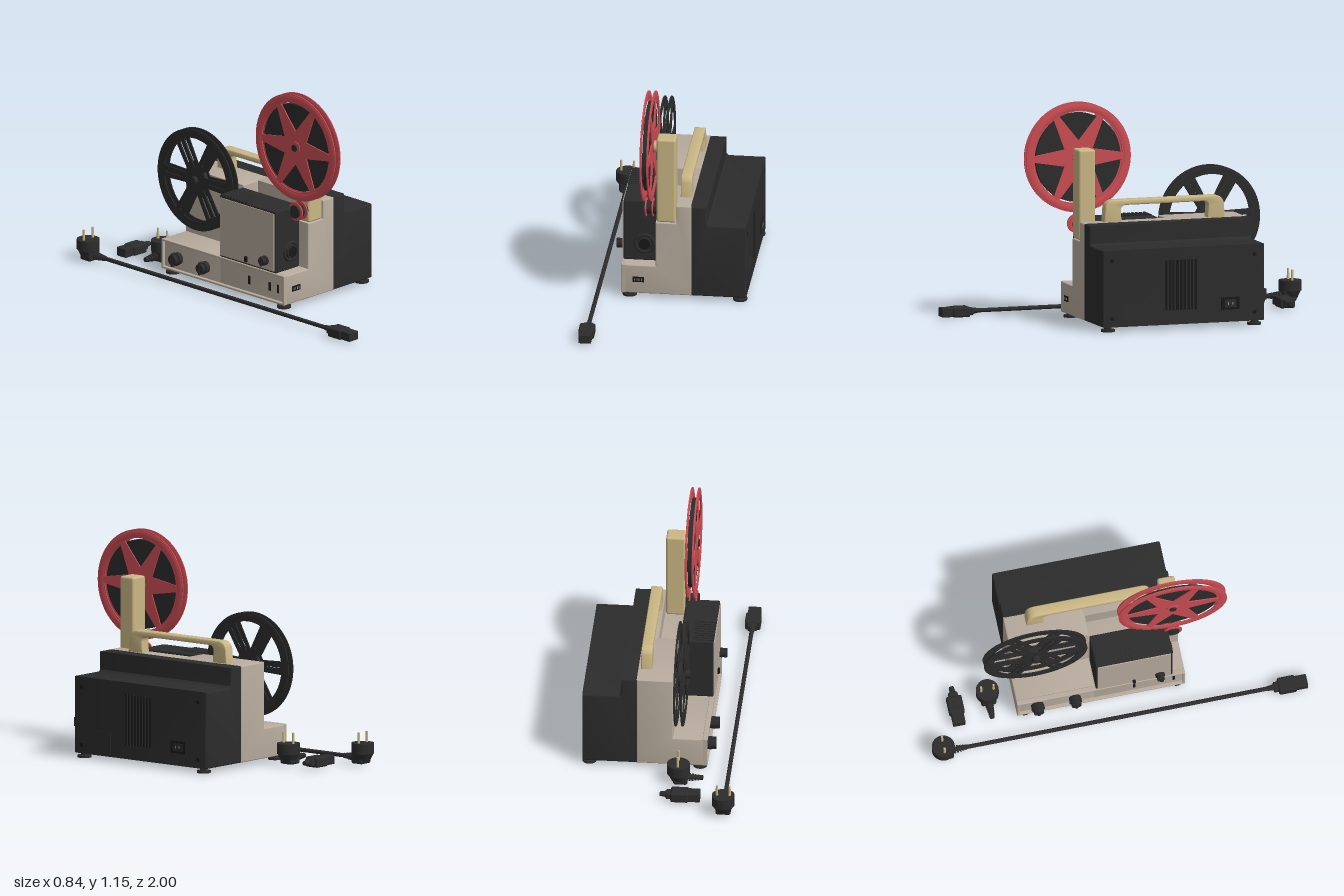
import * as THREE from 'three';
import { RoundedBoxGeometry } from 'three/addons/geometries/RoundedBoxGeometry.js';
import { toCreasedNormals } from 'three/addons/utils/BufferGeometryUtils.js';

const mat = (name, color) => Object.assign(new THREE.MeshStandardMaterial({ color }), { name });

export function createModel() {
  const root = new THREE.Group();
  root.name = 'filmProjector';
  const black = mat('black plastic', 0x2c2c2c);
  const dark = mat('dark recess', 0x191919);
  const beige = mat('beige body', 0xb8ac9e);
  const tan = mat('cream plastic', 0xcab785);
  const red = mat('red plastic', 0xcc4d54);
  const metal = mat('steel', 0x8a8a88);

  const add = (name, geo, m, parent = root, x = 0, y = 0, z = 0) => {
    const mesh = new THREE.Mesh(geo, m);
    mesh.name = name;
    mesh.position.set(x, y, z);
    parent.add(mesh);
    return mesh;
  };
  // box given by its extents on each axis
  const box = (name, m, [x0, x1], [y0, y1], [z0, z1], r = 0, parent = root) => {
    const s = [x1 - x0, y1 - y0, z1 - z0];
    const g = r ? new RoundedBoxGeometry(...s, 3, r) : new THREE.BoxGeometry(...s);
    return add(name, g, m, parent, (x0 + x1) / 2, (y0 + y1) / 2, (z0 + z1) / 2);
  };
  // cylinder along an axis, r0 at the low end and r1 at the high end
  const cyl = (name, m, axis, r0, r1, len, x, y, z, parent = root, seg = 32) => {
    const g = new THREE.CylinderGeometry(r1, r0, len, seg);
    if (axis === 'x') g.rotateZ(-Math.PI / 2);
    if (axis === 'z') g.rotateX(Math.PI / 2);
    return add(name, g, m, parent, x, y, z);
  };
  const polygon = (pts) => new THREE.Shape(pts.map((p) => new THREE.Vector2(...p)));
  const extrude = (shape, from, to, b) => {
    const g = new THREE.ExtrudeGeometry(shape, {
      depth: to - from - 2 * b, bevelEnabled: b > 0, bevelSize: b, bevelThickness: b,
      bevelOffset: -b, bevelSegments: 3, curveSegments: 40 });
    g.translate(0, 0, from + b);
    return toCreasedNormals(g, 0.6);
  };

  // main shell: rear stretch at full height, front stretch stepped for the arm
  add('rearBody', extrude(polygon([[-0.225, 0.025], [0.13, 0.025], [0.13, 0.535], [-0.06, 0.535],
    [-0.06, 0.185], [-0.225, 0.185]]), -0.52, -0.1, 0.006), beige);
  add('frontBody', extrude(polygon([[-0.225, 0.025], [0.13, 0.025], [0.13, 0.535], [0.05, 0.535],
    [0.05, 0.435], [-0.06, 0.435], [-0.06, 0.185], [-0.225, 0.185]]), -0.113, 0.375, 0.006), beige);
  // raised rim round the control panel
  for (const y of [0.025, 0.175]) box('panelRim', beige, [-0.242, -0.215], [y, y + 0.012], [-0.52, 0.375], 0.004);
  for (const z of [-0.52, 0.363]) box('panelRimEnd', beige, [-0.242, -0.215], [0.025, 0.187], [z, z + 0.012], 0.004);

  // black side cover
  add('sideCover', extrude(polygon([[0.125, 0.025], [0.415, 0.025], [0.415, 0.43], [0.22, 0.43],
    [0.21, 0.44], [0.21, 0.535], [0.125, 0.535]]), -0.52, 0.375, 0.008), black);
  for (let i = 0; i < 9; i++) {
    const z = -0.145 + i * 0.0205;
    box('ventSlot', dark, [0.412, 0.417], [0.1, 0.365], [z, z + 0.012]);
  }
  for (let i = 0; i < 8; i++) {
    const z = -0.132 + i * 0.0205;
    box('ventRib', black, [0.412, 0.42], [0.1, 0.365], [z, z + 0.006]);
  }
  box('accessHatch', black, [0.412, 0.4175], [0.035, 0.155], [0.13, 0.27]);
  box('socketPlate', dark, [0.412, 0.418], [0.09, 0.155], [-0.38, -0.28]);
  box('socketInlet', black, [0.412, 0.421], [0.102, 0.143], [-0.362, -0.298]);
  for (const z of [-0.342, -0.318]) box('socketPin', metal, [0.412, 0.423], [0.115, 0.13], [z - 0.003, z + 0.003]);
  for (const z of [0.325, -0.465]) for (const y of [0.07, 0.375]) cyl('coverScrew', dark, 'x', 0.011, 0.011, 0.006, 0.415, y, z, root, 16);

  // feet
  for (const x of [-0.2, 0.38]) for (const z of [0.335, -0.475]) {
    cyl('foot', black, 'y', 0.037, 0.037, 0.012, x, 0.006, z);
    cyl('footStem', black, 'y', 0.02, 0.02, 0.02, x, 0.02, z);
  }

  // lamp and lens housing
  box('lampHousing', black, [-0.237, -0.06], [0.185, 0.525], [-0.1, 0.31], 0.008);
  box('housingSidePlate', beige, [-0.242, -0.234], [0.197, 0.513], [-0.09, 0.3]);
  for (let i = 0; i < 9; i++) {
    const z = -0.09 + i * 0.022;
    box('coolingRib', black, [-0.237, -0.125], [0.52, 0.53], [z, z + 0.012]);
  }
  add('lensRing', new THREE.TorusGeometry(0.048, 0.009, 12, 40), black, root, -0.125, 0.285, 0.312);
  cyl('lensBarrel', black, 'z', 0.038, 0.038, 0.03, -0.125, 0.285, 0.31);
  cyl('lensGlass', dark, 'z', 0.03, 0.03, 0.006, -0.125, 0.285, 0.325);
  box('housingCatch', dark, [-0.252, -0.24], [0.205, 0.235], [0.095, 0.11]);

  // knobs: [height, z, radius]
  for (const [y, z, r] of [[0.1, -0.41, 0.036], [0.1, -0.21, 0.034], [0.247, 0.24, 0.026]]) {
    cyl('knobSkirt', black, 'x', r, r * 0.9, 0.03, -0.24, y, z);
    cyl('knob', black, 'x', r * 0.75, r * 0.8, 0.025, -0.265, y, z);
    box('knobGrip', black, [-0.28, -0.25], [y - r, y + r], [z - 0.007, z + 0.007], 0.003);
  }
  for (const z of [0.1, 0.25, 0.31]) box('panelSlot', dark, [-0.229, -0.224], [0.08, 0.125], [z, z + 0.014]);
  // front connector
  box('connector', dark, [-0.182, -0.12], [0.09, 0.119], [0.373, 0.378]);
  for (let i = 0; i < 4; i++) box('connectorContact', metal, [-0.172 + i * 0.012, -0.167 + i * 0.012], [0.098, 0.11], [0.374, 0.3795]);

  // reel arm and carrying handle
  box('reelArm', tan, [-0.056, 0.045], [0.437, 0.912], [0.283, 0.375], 0.012);
  const h = new THREE.Shape();
  h.moveTo(-0.26, 0.52);
  h.lineTo(-0.253, 0.61);
  h.quadraticCurveTo(-0.245, 0.65, -0.2, 0.65);
  h.lineTo(0.35, 0.65);
  h.quadraticCurveTo(0.395, 0.65, 0.403, 0.61);
  h.lineTo(0.41, 0.52);
  h.lineTo(0.312, 0.52);
  h.lineTo(0.317, 0.59);
  h.quadraticCurveTo(0.32, 0.622, 0.285, 0.622);
  h.lineTo(-0.135, 0.622);
  h.quadraticCurveTo(-0.17, 0.622, -0.167, 0.59);
  h.lineTo(-0.162, 0.52);
  add('carryHandle', extrude(h, 0.058, 0.116, 0.006), tan).rotation.y = Math.PI / 2;

  // reels, built facing local z and turned to face x
  const polar = (r, a) => [r * Math.cos(a), r * Math.sin(a)];
  const disc = (R) => new THREE.Shape().absarc(0, 0, R, 0, Math.PI * 2, false);
  const reel = (name, y, z) => {
    const g = new THREE.Group();
    g.name = name;
    g.position.set(-0.095, y, z);
    g.rotation.y = Math.PI / 2;
    root.add(g);
    return g;
  };
  const front = reel('supplyReel', 0.857, 0.335);
  const star = disc(0.289);
  for (let i = 0; i < 6; i++) {
    const mid = (i + 0.5) * Math.PI / 3, hole = new THREE.Path();
    hole.moveTo(...polar(0.09, mid));
    hole.lineTo(...polar(0.243, mid - 0.45));
    hole.absarc(0, 0, 0.243, mid - 0.45, mid + 0.45, false);
    hole.closePath();
    star.holes.push(hole);
  }
  for (const s of [-1, 1]) {
    add('starFlange', extrude(star, s * 0.018 - 0.003, s * 0.018 + 0.003, 0), red, front);
    add('flangeRim', new THREE.TorusGeometry(0.267, 0.022, 10, 72).scale(1, 1, 0.25), red, front, 0, 0, s * 0.018);
  }
  cyl('film', black, 'z', 0.235, 0.235, 0.026, 0, 0, 0, front, 64);
  cyl('spindle', black, 'z', 0.018, 0.018, 0.075, 0, 0, 0.005, front, 20);
  cyl('spindleCollar', tan, 'z', 0.03, 0.03, 0.02, 0, 0, 0.032, front);
  cyl('hubCap', red, 'z', 0.035, 0.035, 0.05, 0, 0, 0, front);

  const rear = reel('takeUpReel', 0.507, -0.395);
  const wheel = disc(0.275);
  for (let i = 0; i < 6; i++) {
    const a = i * Math.PI / 3, mid = a + Math.PI / 6, hole = new THREE.Path();
    hole.moveTo(...polar(0.075, mid - 0.16));
    hole.lineTo(...polar(0.228, mid - 0.38));
    hole.absarc(0, 0, 0.228, mid - 0.38, mid + 0.38, false);
    hole.lineTo(...polar(0.075, mid + 0.16));
    hole.closePath();
    wheel.holes.push(hole);
    // slit down the middle of the spoke
    const c = Math.cos(a), s = Math.sin(a);
    wheel.holes.push(new THREE.Path([[0.1, -0.005], [0.215, -0.005], [0.215, 0.005], [0.1, 0.005]]
      .map(([u, v]) => new THREE.Vector2(u * c - v * s, u * s + v * c))));
  }
  for (const s of [-1, 1]) {
    add('spokedFlange', extrude(wheel, s * 0.018 - 0.003, s * 0.018 + 0.003, 0), black, rear);
    add('flangeRim', new THREE.TorusGeometry(0.258, 0.016, 10, 72).scale(1, 1, 0.25), black, rear, 0, 0, s * 0.018);
  }
  cyl('reelCore', black, 'z', 0.06, 0.06, 0.036, 0, 0, 0, rear);
  cyl('reelSpindle', black, 'z', 0.022, 0.022, 0.085, 0, 0, -0.003, rear);

  // red guide roller below the supply reel
  for (const x of [-0.113, -0.077]) cyl('rollerFlange', red, 'x', 0.05, 0.05, 0.007, x, 0.505, 0.335);
  cyl('guideRoller', black, 'x', 0.035, 0.035, 0.07, -0.09, 0.505, 0.335);

  // loose leads: wall plugs with two pins, and appliance connectors
  const ribs = (parent, from, dir) => {
    for (let i = 0; i < 5; i++) cyl('strainRelief', black, 'z', 0.022 - i * 0.002, 0.022 - i * 0.002, 0.009, 0, 0.035, from + dir * i * 0.015, parent, 16);
    cyl('reliefCore', black, 'z', 0.012, 0.012, 0.08, 0, 0.035, from + dir * 0.03, parent, 16);
  };
  const group = (name, x, z, turn) => {
    const g = new THREE.Group();
    g.name = name;
    g.position.set(x, 0, z);
    g.rotation.y = turn;
    root.add(g);
    return g;
  };
  for (const [x, z, turn] of [[-0.36, -0.938, 0], [-0.1, -0.65, -Math.PI / 2]]) {
    const p = group('wallPlug', x, z, turn);
    cyl('plugFace', black, 'y', 0.06, 0.06, 0.055, 0, 0.0875, 0, p);
    cyl('plugTaper', black, 'y', 0.036, 0.058, 0.045, 0, 0.04, 0, p);
    box('plugGrip', black, [-0.04, 0.04], [0.005, 0.065], [-0.025, 0.05], 0.012, p);
    for (const s of [-1, 1]) cyl('plugPin', tan, 'y', 0.007, 0.006, 0.06, s * 0.033, 0.142, 0, p, 16);
    ribs(p, 0.06, 1);
  }
  for (const [x, z, turn] of [[-0.36, 1, 0], [-0.23, -0.825, -Math.PI / 2]]) {
    const c = group('applianceConnector', x, z, turn);
    box('connectorNose', black, [-0.033, 0.033], [0.01, 0.058], [-0.075, 0], 0.005, c);
    box('connectorBody', black, [-0.041, 0.041], [0.007, 0.061], [-0.155, -0.06], 0.01, c);
    box('connectorNeck', black, [-0.025, 0.025], [0.015, 0.053], [-0.18, -0.14], 0.008, c);
    cyl('neckSleeve', black, 'z', 0.012, 0.018, 0.04, 0, 0.035, -0.192, c, 16);
  }
  cyl('mainsCable', black, 'z', 0.011, 0.011, 1.68, -0.36, 0.035, -0.02, root, 16);
  return root;
}
